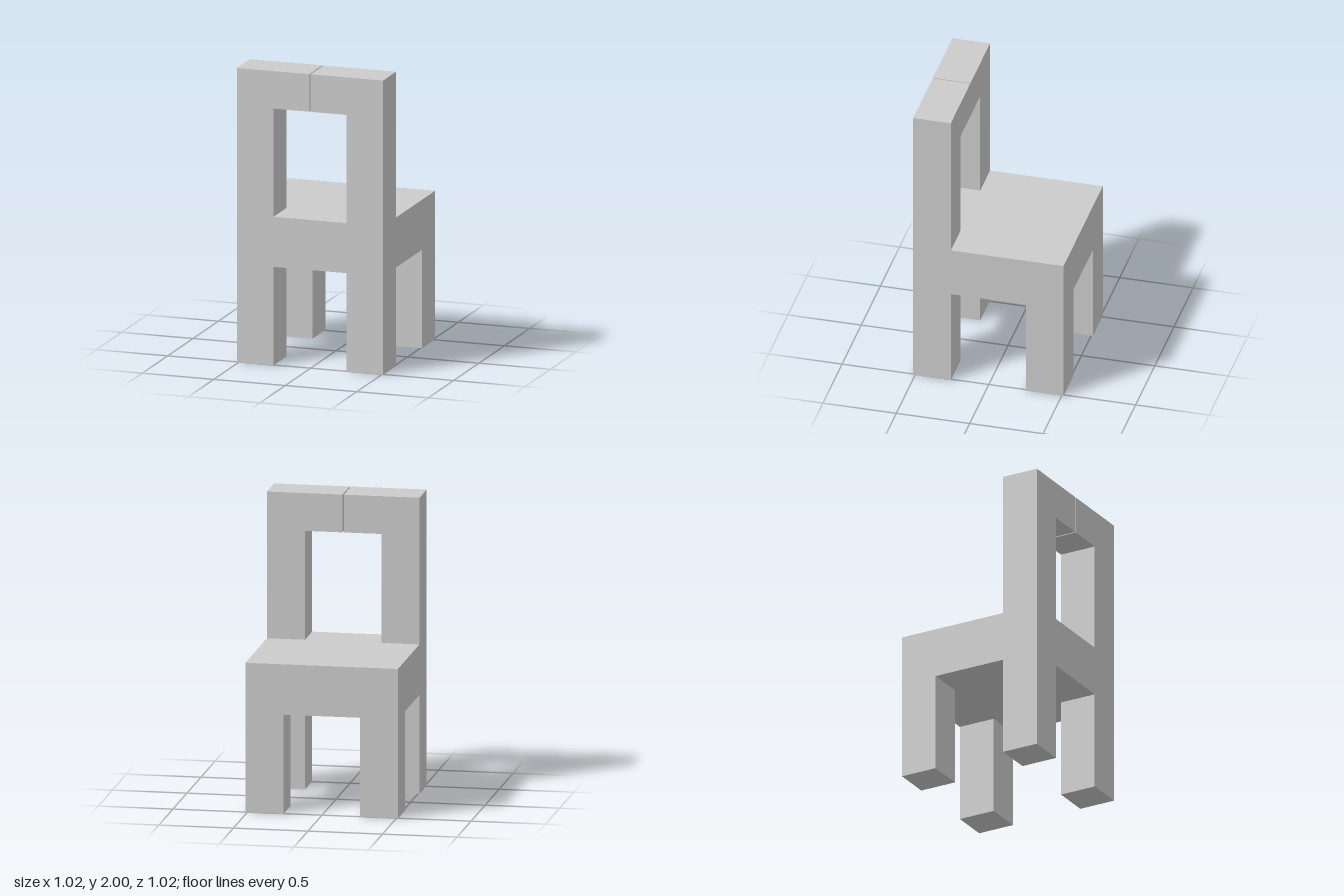
import * as THREE from 'three';

const HALF = 0.512;      // half width and depth of the chair
const INNER = 0.256;     // inner edge of legs and posts
const SEAT_BOTTOM = 0.67;
const SEAT_TOP = 1.01;
const RAIL_BOTTOM = 1.745;
const TOP = 2;
const GAP = 0.004;       // half width of the slit in the top rail

const material = new THREE.MeshStandardMaterial({ color: 0xcccccc, flatShading: true });

function addBox(group, name, [x0, x1], [y0, y1], [z0, z1]) {
  const mesh = new THREE.Mesh(new THREE.BoxGeometry(x1 - x0, y1 - y0, z1 - z0), material);
  mesh.position.set((x0 + x1) / 2, (y0 + y1) / 2, (z0 + z1) / 2);
  mesh.name = name;
  group.add(mesh);
}

export function createModel() {
  const chair = new THREE.Group();
  chair.name = 'chair';

  // Thick seat block
  addBox(chair, 'seat', [-HALF, HALF], [SEAT_BOTTOM, SEAT_TOP], [-HALF, HALF]);

  for (const side of [-1, 1]) {
    const sideName = side > 0 ? 'left' : 'right';
    const xs = side > 0 ? [INNER, HALF] : [-HALF, -INNER];

    // Square legs, the backrest standing over the +z pair
    addBox(chair, sideName + 'BackrestLeg', xs, [0, SEAT_BOTTOM], [INNER, HALF]);
    addBox(chair, sideName + 'SeatEdgeLeg', xs, [0, SEAT_BOTTOM], [-HALF, -INNER]);

    // Backrest half: a post with its part of the top rail
    const outline = [
      [INNER, SEAT_TOP], [HALF, SEAT_TOP], [HALF, TOP],
      [GAP, TOP], [GAP, RAIL_BOTTOM], [INNER, RAIL_BOTTOM],
    ].map(([x, y]) => new THREE.Vector2(side * x, y));
    const half = new THREE.Mesh(
      new THREE.ExtrudeGeometry(new THREE.Shape(outline), { depth: HALF - INNER, bevelEnabled: false }),
      material
    );
    half.position.z = INNER;
    half.name = sideName + 'BackrestHalf';
    chair.add(half);
  }

  return chair;
}
